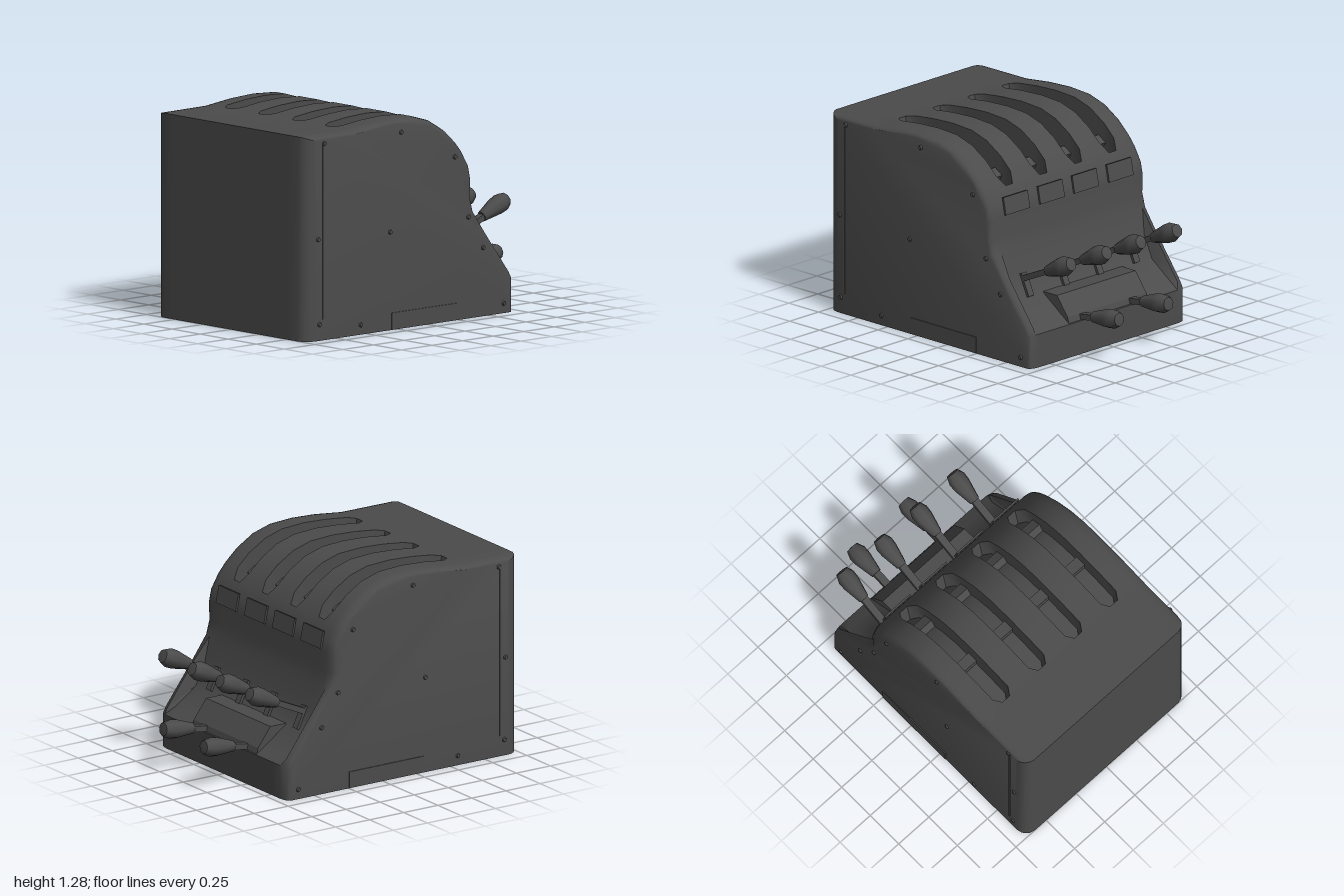
import * as THREE from 'three';
import { toCreasedNormals } from 'three/addons/utils/BufferGeometryUtils.js';

// Side outline of the housing, from bottom rear, over the top, to bottom front
const OUTLINE = [[-1, 0], [-1, 1.25], [-0.6, 1.252], [-0.55, 1.258], [-0.4, 1.275], [-0.235, 1.283],
  [-0.075, 1.274], [0.05, 1.237], [0.166, 1.167], [0.25, 1.09], [0.3, 1.03], [0.353, 0.94], [0.37, 0.86],
  [0.366, 0.745], [0.39, 0.655], [0.487, 0.517], [0.594, 0.373], [0.685, 0.25], [0.706, 0.21], [0.706, 0]];
// Set-back lever panel between the side walls
const RECESS = { 15: [0.425, 0.5], 16: [0.49, 0.36], 17: [0.64, 0.255] };
const SLOTS = [-0.455, -0.157, 0.143, 0.44];
const FIRST = 2, LAST = 10, HALF = 0.063, TIP = 0.03;
const SIDE = 0.67, ROUND = 0.08;

function outlineAt(z) {
  const t = Math.max(0, (Math.abs(z) - (SIDE - ROUND)) / ROUND);
  const d = ROUND * (1 - Math.sqrt(Math.max(0, 1 - t * t)));
  return OUTLINE.map((p, i) => {
    const [x, y] = Math.abs(z) < 0.605 && RECESS[i] ? RECESS[i] : p;
    return new THREE.Vector3(x + (i < 2 ? d : -0.4 * d), y - 0.28 * d * y, z);
  });
}

function fromTriangles(points, crease = 0.6) {
  const g = new THREE.BufferGeometry().setFromPoints(points);
  g.computeVertexNormals();
  return toCreasedNormals(g, crease);
}

function housingGeometry() {
  const stations = [-SIDE, -0.662, -0.648, -0.625, -0.6, 0.6, 0.625, 0.648, 0.662, SIDE];
  SLOTS.forEach(c => stations.push(c - HALF, c - TIP, c + TIP, c + HALF));
  stations.sort((a, b) => a - b);
  const rings = stations.map(outlineAt), n = OUTLINE.length, tris = [];
  for (let j = 0; j < rings.length - 1; j++) {
    const mid = (stations[j] + stations[j + 1]) / 2;
    const slot = SLOTS.find(c => Math.abs(mid - c) < HALF);
    for (let i = 0; i < n; i++) {
      const k = (i + 1) % n;
      let q = [rings[j][i], rings[j + 1][i], rings[j + 1][k], rings[j][k]];
      if (slot !== undefined && i >= FIRST && i < LAST) {
        const off = mid - slot, end = i === FIRST || i === LAST - 1;
        if (!end || Math.abs(off) < TIP) continue;
        // cut slot corners diagonally
        const drop = i === FIRST ? (off < 0 ? 2 : 3) : (off < 0 ? 1 : 0);
        tris.push(...q.filter((_, m) => m !== drop));
        continue;
      }
      tris.push(q[0], q[1], q[2], q[0], q[2], q[3]);
    }
  }
  // flat side faces
  for (const z of [-SIDE, SIDE]) {
    const ring = outlineAt(z);
    const faces = THREE.ShapeUtils.triangulateShape(ring.map(p => new THREE.Vector2(p.x, p.y)), []);
    for (const f of faces) {
      const [a, b, c] = f.map(i => ring[i]);
      const ccw = (b.x - a.x) * (c.y - a.y) - (b.y - a.y) * (c.x - a.x) > 0;
      tris.push(a, ...(ccw === z > 0 ? [b, c] : [c, b]));
    }
  }
  return fromTriangles(tris);
}

const sink = p => new THREE.Vector3((p.x + 0.15) * 0.94 - 0.15, p.y - 0.17, p.z);

// Walls running down around one slot
function slotWallGeometry(c) {
  const at = (i, z) => new THREE.Vector3(OUTLINE[i][0], OUTLINE[i][1], z);
  const loop = [at(FIRST, c - TIP)];
  for (let i = FIRST + 1; i < LAST; i++) loop.push(at(i, c - HALF));
  loop.push(at(LAST, c - TIP), at(LAST, c + TIP));
  for (let i = LAST - 1; i > FIRST; i--) loop.push(at(i, c + HALF));
  loop.push(at(FIRST, c + TIP));
  const tris = [];
  loop.forEach((a, i) => {
    const b = loop[(i + 1) % loop.length], a2 = sink(a), b2 = sink(b);
    tris.push(a, b, b2, a, b2, a2);
  });
  return fromTriangles(tris);
}

// Curved tray below the slots
function trayGeometry() {
  const tris = [];
  for (let i = FIRST; i < LAST; i++) {
    const p = (k, z) => sink(new THREE.Vector3(...OUTLINE[k], z));
    const a = p(i, -0.56), b = p(i, 0.56), c = p(i + 1, 0.56), d = p(i + 1, -0.56);
    tris.push(a, b, c, a, c, d);
  }
  return fromTriangles(tris);
}

export function createModel() {
  const model = new THREE.Group();
  const charcoal = new THREE.MeshStandardMaterial({ color: 0x4b4b4b, side: THREE.DoubleSide });
  charcoal.name = 'charcoal';
  const add = (name, geo, x = 0, y = 0, z = 0, tilt = 0, parent = model) => {
    const m = new THREE.Mesh(geo, charcoal);
    m.name = name;
    m.position.set(x, y, z);
    m.rotation.z = tilt;
    parent.add(m);
    return m;
  };
  const box = (w, h, d) => new THREE.BoxGeometry(w, h, d);

  add('housing', housingGeometry());
  SLOTS.forEach(c => add('slotWall', slotWallGeometry(c)));
  add('slotTray', trayGeometry());
  add('crossRib', box(0.07, 0.08, 1.1), -0.24, 1.12, 0);
  add('crossRib', box(0.07, 0.08, 1.1), 0.13, 1.03, 0, -0.55);

  // Raised label plates below the slots
  for (const z of [0.445, 0.145, -0.15, -0.45]) {
    add('labelPlate', box(0.012, 0.11, 0.21), 0.364, 0.93, z, 0.2);
  }

  // Lower control block
  const block = new THREE.Shape([[0.46, 0.37], [0.6, 0.37], [0.69, 0.25], [0.704, 0.2], [0.48, 0.2]]
    .map(p => new THREE.Vector2(...p)));
  add('controlBlock', new THREE.ExtrudeGeometry(block, { depth: 0.68, bevelEnabled: false }), 0, 0, -0.345);

  // Levers: thin stem with a flared, eight-sided grip
  const grip = toCreasedNormals(new THREE.LatheGeometry(
    [[0, 0], [0.034, 0], [0.058, 0.12], [0.06, 0.17], [0.042, 0.215], [0, 0.22]]
      .map(p => new THREE.Vector2(...p)), 8), 0.9);
  const lever = (name, x, y, z, stem, angle) => {
    const g = new THREE.Group();
    g.name = name;
    g.position.set(x, y, z);
    g.rotation.z = angle;
    add('stem', box(stem + 0.04, 0.036, 0.046), stem / 2, 0, 0, 0, g);
    add('grip', grip, stem, 0, 0, -Math.PI / 2, g);
    model.add(g);
  };
  for (const z of [0.455, 0.145, -0.15, -0.462]) {
    lever('upperLever', 0.42, 0.463, z, 0.24, 0.42);
    add('leverGuide', box(0.025, 0.15, 0.046), 0.46, 0.435, z, 0.45);
  }
  for (const z of [0.21, -0.217]) lever('lowerLever', 0.68, 0.23, z, 0.11, 0.15);

  // Side trim and fasteners
  for (const s of [-1, 1]) {
    add('sideSeam', box(0.012, 1.08, 0.01), -0.86, 0.67, s * SIDE);
    add('baseStrip', box(0.55, 0.1, 0.012), -0.025, 0.055, s * SIDE);
    for (const [x, y] of [[-0.9, 0.62], [-0.85, 1.2], [-0.89, 0.1], [-0.55, 0.06], [0.45, 0.42],
      [0.62, 0.06], [0.33, 0.62], [0.22, 1.0], [-0.22, 1.2], [-0.31, 0.6]]) {
      const rivet = add('rivet', new THREE.CylinderGeometry(0.012, 0.02, 0.02, 6), x, y, s * SIDE);
      rivet.rotation.x = s * Math.PI / 2;
    }
  }
  return model;
}
